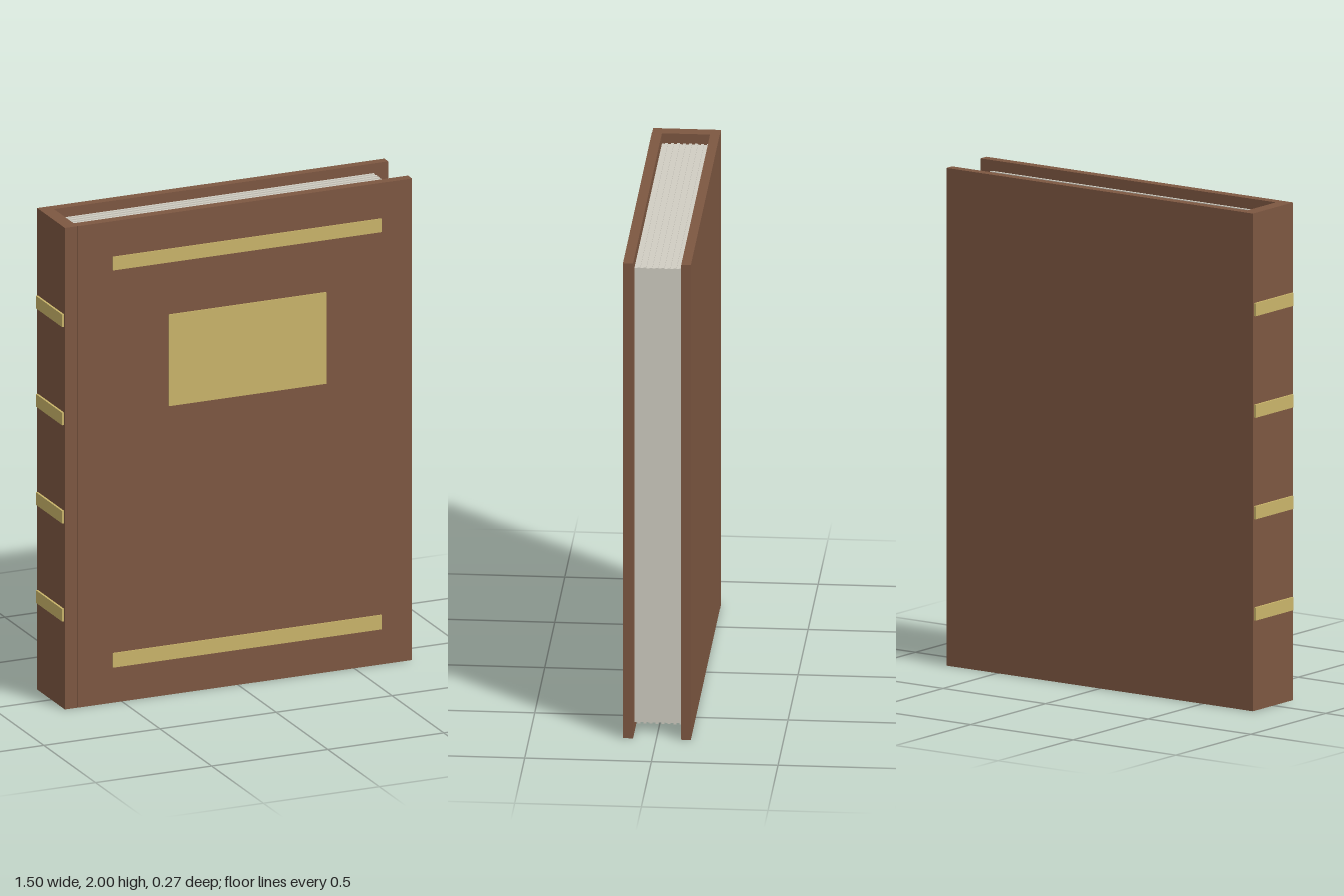
import * as THREE from 'three';

const leather = new THREE.MeshStandardMaterial({ color: 0x7d5741 });
leather.name = 'brown leather';
const gold = new THREE.MeshStandardMaterial({ color: 0xc9b46a });
gold.name = 'gold';
const paper = new THREE.MeshStandardMaterial({ color: 0xd0cdc2 });
paper.name = 'paper';

// Box given by its minimum and maximum on each axis
function slab(name, material, [x0, x1], [y0, y1], [z0, z1]) {
  const mesh = new THREE.Mesh(new THREE.BoxGeometry(x1 - x0, y1 - y0, z1 - z0), material);
  mesh.position.set((x0 + x1) / 2, (y0 + y1) / 2, (z0 + z1) / 2);
  mesh.name = name;
  return mesh;
}

export function createModel() {
  const book = new THREE.Group();
  book.name = 'book';

  // Binding: two boards joined by the spine
  book.add(
    slab('frontCover', leather, [-0.69, 0.75], [0, 2], [0.092, 0.132]),
    slab('backCover', leather, [-0.69, 0.75], [0, 2], [-0.136, -0.098]),
    slab('spine', leather, [-0.745, -0.69], [0, 2], [-0.137, 0.131]),
  );

  // Page block: thin leaves with slightly uneven edges
  const pages = new THREE.Group();
  pages.name = 'pages';
  const count = 16, zBack = -0.098, step = 0.19 / count;
  for (let i = 0; i < count; i++) {
    const inset = (i % 2) * 0.004;
    const z = zBack + i * step;
    pages.add(slab('page', paper, [-0.69, 0.687 - inset], [0.04 + inset, 1.96 - inset], [z, z + step]));
  }
  book.add(pages);

  // Gilt plates on the front cover
  const face = [0.131, 0.137];
  book.add(
    slab('upperStripe', gold, [-0.54, 0.617], [1.797, 1.853], face),
    slab('lowerStripe', gold, [-0.54, 0.617], [0.147, 0.207], face),
    slab('titlePlate', gold, [-0.3, 0.378], [1.2, 1.58], face),
  );

  // Raised bands across the spine
  for (const y of [0.39, 0.797, 1.205, 1.613]) {
    book.add(slab('spineBand', gold, [-0.754, -0.744], [y - 0.026, y + 0.026], [-0.13, 0.123]));
  }
  return book;
}
